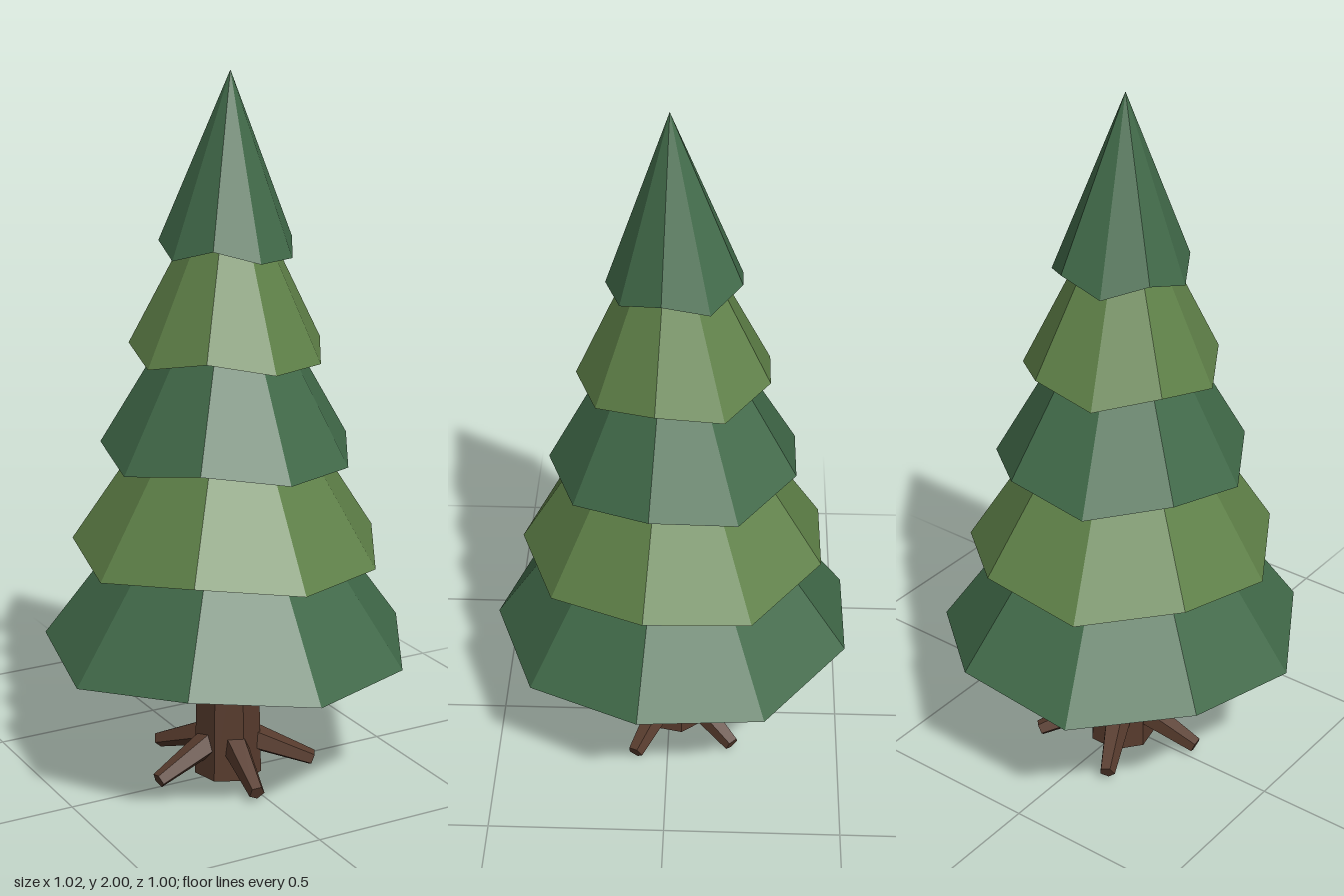
import * as THREE from 'three';

const AXIS_Z = -0.017; // the odd-sided rims sit slightly behind the origin

// Hard-edged facets without touching the material
function faceted(geometry) {
  const flat = geometry.toNonIndexed();
  flat.computeVertexNormals();
  return flat;
}

function material(name, color) {
  const m = new THREE.MeshStandardMaterial({ color });
  m.name = name;
  return m;
}

// Nine-sided cone whose rim corners alternate between low and raised
function foliageGeometry(radius, rimY, apexY) {
  const height = apexY - rimY;
  const geo = new THREE.ConeGeometry(radius, height, 9, 1);
  geo.translate(0, rimY + height / 2, 0);
  const pos = geo.attributes.position;
  for (let i = 0; i < pos.count; i++) {
    const x = pos.getX(i), y = pos.getY(i), z = pos.getZ(i);
    if (y > rimY + height / 2) {
      pos.setZ(i, -AXIS_Z); // tip stands over the origin
    } else if (Math.hypot(x, z) < 0.001) {
      pos.setY(i, rimY + 0.03); // hollowed underside
    } else {
      const corner = (Math.round(Math.atan2(x, z) / (Math.PI * 2 / 9)) + 9) % 9;
      if (corner > 0 && corner % 2 === 0) pos.setY(i, rimY + 0.036);
    }
  }
  return faceted(geo);
}

// Tapered root between two points
function rootGeometry(from, to, baseRadius, tipRadius) {
  const dir = to.clone().sub(from);
  const geo = new THREE.CylinderGeometry(tipRadius, baseRadius, dir.length(), 5);
  geo.applyQuaternion(new THREE.Quaternion().setFromUnitVectors(
    new THREE.Vector3(0, 1, 0), dir.normalize()));
  const mid = from.clone().add(to).multiplyScalar(0.5);
  geo.translate(mid.x, mid.y, mid.z);
  return faceted(geo);
}

export function createModel() {
  const tree = new THREE.Group();
  tree.name = 'pineTree';
  const darkGreen = material('dark green', 0x416a49);
  const lightGreen = material('light green', 0x5f8148);
  const bark = material('bark brown', 0x573b2d);

  const add = (name, geometry, mat) => {
    const mesh = new THREE.Mesh(geometry, mat);
    mesh.name = name;
    mesh.position.z = AXIS_Z;
    tree.add(mesh);
  };

  // Trunk
  const trunk = new THREE.CylinderGeometry(0.086, 0.098, 0.5, 7);
  trunk.translate(0, 0.25, 0);
  add('trunk', faceted(trunk), bark);

  // Five roots spreading from the base
  for (let i = 0; i < 5; i++) {
    const a = THREE.MathUtils.degToRad(63 + 72 * i);
    const at = (r, y) => new THREE.Vector3(Math.sin(a) * r, y, Math.cos(a) * r);
    add(`root${i + 1}`, rootGeometry(at(0.05, 0.108), at(0.245, 0.031), 0.042, 0.023), bark);
  }

  // Foliage tiers: rim radius, rim height, tip height
  const tiers = [
    [0.518, 0.38, 1.12],
    [0.435, 0.663, 1.36],
    [0.352, 0.944, 1.58],
    [0.27, 1.225, 1.79],
    [0.186, 1.508, 2.0],
  ];
  tiers.forEach(([r, rim, tip], i) =>
    add(`foliageTier${i + 1}`, foliageGeometry(r, rim, tip), i % 2 ? lightGreen : darkGreen));

  return tree;
}
